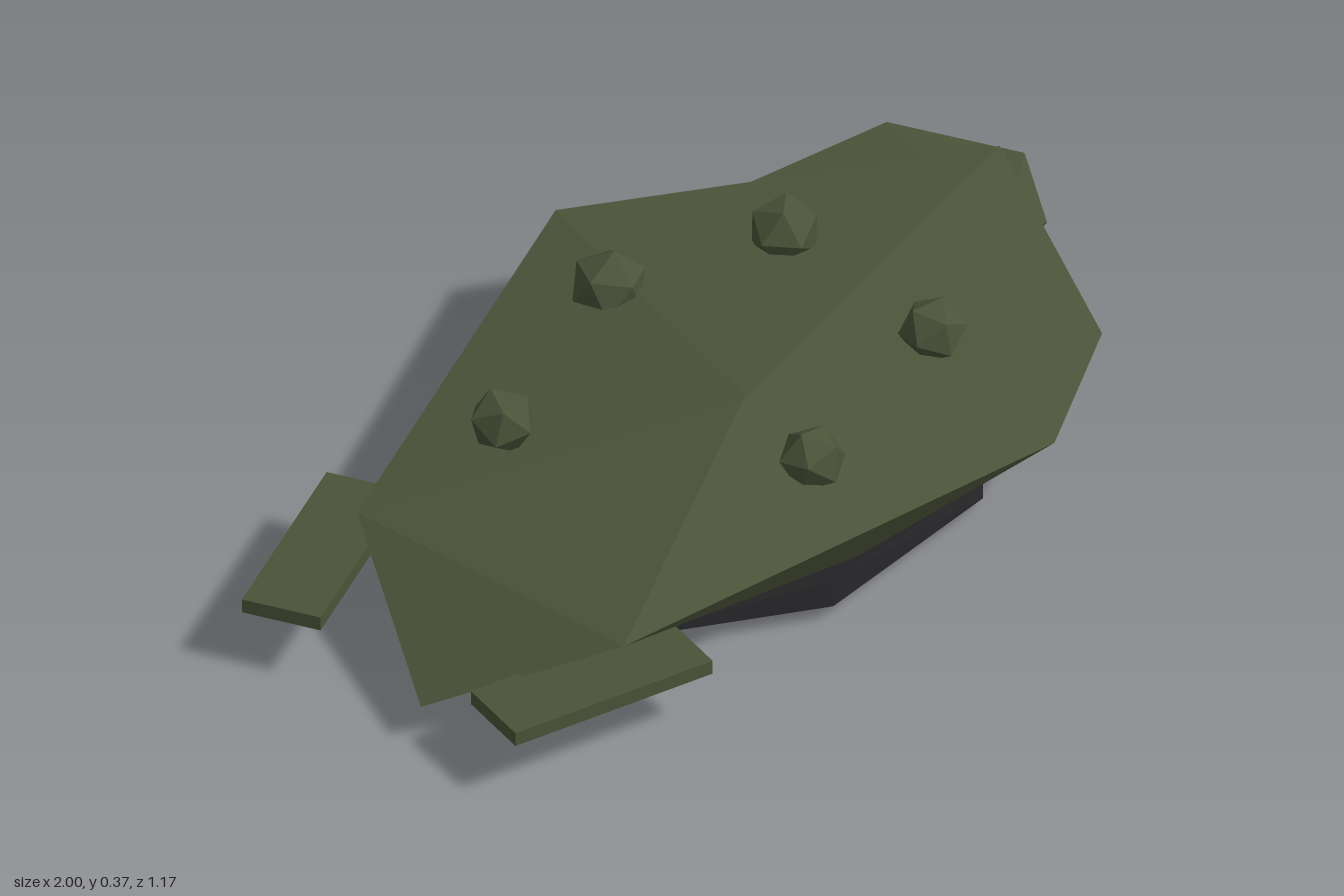
import * as THREE from 'three';
import { ConvexGeometry } from 'three/addons/geometries/ConvexGeometry.js';

export function createModel() {
  const model = new THREE.Group();
  const green = new THREE.MeshStandardMaterial({ color: 0x4b5339, flatShading: true });
  green.name = 'olive green';
  const dark = new THREE.MeshStandardMaterial({ color: 0x222224, flatShading: true });
  dark.name = 'charcoal';

  const add = (name, geometry, material, x = 0, y = 0, z = 0) => {
    const mesh = new THREE.Mesh(geometry, material);
    mesh.name = name;
    mesh.position.set(x, y, z);
    model.add(mesh);
    return mesh;
  };
  // Faceted solid wrapped around a few corner points
  const facet = (points) => new ConvexGeometry(points.map((p) => new THREE.Vector3(...p)));

  // Upper shell: apex, wide rim, and narrower underside
  add('shell', facet([
    [-0.07, 0.33, 0.13],
    [0.3, 0.225, 0.585], [0.95, 0.242, -0.09], [0.23, 0.265, -0.585],
    [-0.69, 0.2, -0.31], [-0.97, 0.083, 0.08], [-0.73, 0.23, 0.38],
    [-0.1, 0.11, 0.43], [0.76, 0.1, 0.32], [0.7, 0.12, -0.36], [-0.1, 0.12, -0.38],
    [0.3, 0.067, 0.2], [0.2, 0.07, -0.2],
  ]), green);

  // Head, tucked below the pointed end of the shell
  add('head', facet([
    [0.58, 0.21, -0.41], [0.88, 0.235, -0.31], [1.0, 0.207, -0.07],
    [0.91, 0.155, 0.06], [0.73, 0.24, 0.1], [0.78, 0.125, -0.39],
    [0.78, 0.085, -0.06], [0.5, 0.1, 0.1],
  ]), green);

  // Belly: irregular rim with a shallow point underneath
  const rim = [
    [0.76, -0.14], [0.5, -0.35], [0.21, -0.45], [-0.24, -0.465], [-0.53, -0.33],
    [-0.67, 0.02], [-0.53, 0.2], [-0.17, 0.43], [0.25, 0.45], [0.58, 0.18],
  ];
  const rimHeights = [0.072, 0.04, 0.035, 0.033, 0.05, 0.035, 0.05, 0.033, 0.06, 0.035];
  add('belly', facet([
    [-0.02, 0, -0.02],
    ...rim.map(([x, z], i) => [x, rimHeights[i], z]),
    ...rim.map(([x, z]) => [x * 0.93, 0.078, z * 0.96]),
  ]), dark);

  // Flat rear fins
  for (const side of [-1, 1]) {
    const fin = add(side < 0 ? 'backFin' : 'frontFin',
      new THREE.BoxGeometry(0.44, 0.03, 0.16), green, -0.765, 0.142, side * 0.33);
    fin.rotation.y = -side * 0.32;
  }

  // Knobs on top of the shell
  const knobs = [
    [-0.39, 0.3, -0.2, 0.068], [0.08, 0.292, -0.33, 0.077], [0.42, 0.3, -0.18, 0.072],
    [0.355, 0.3, 0.24, 0.067], [-0.105, 0.295, 0.325, 0.067],
  ];
  knobs.forEach(([x, y, z, r], i) => {
    const knob = add('shellKnob' + (i + 1), new THREE.IcosahedronGeometry(r, 0), green, x, y, z);
    knob.rotation.set(0.55, i * 1.3, 0.05 * i);
  });

  return model;
}
